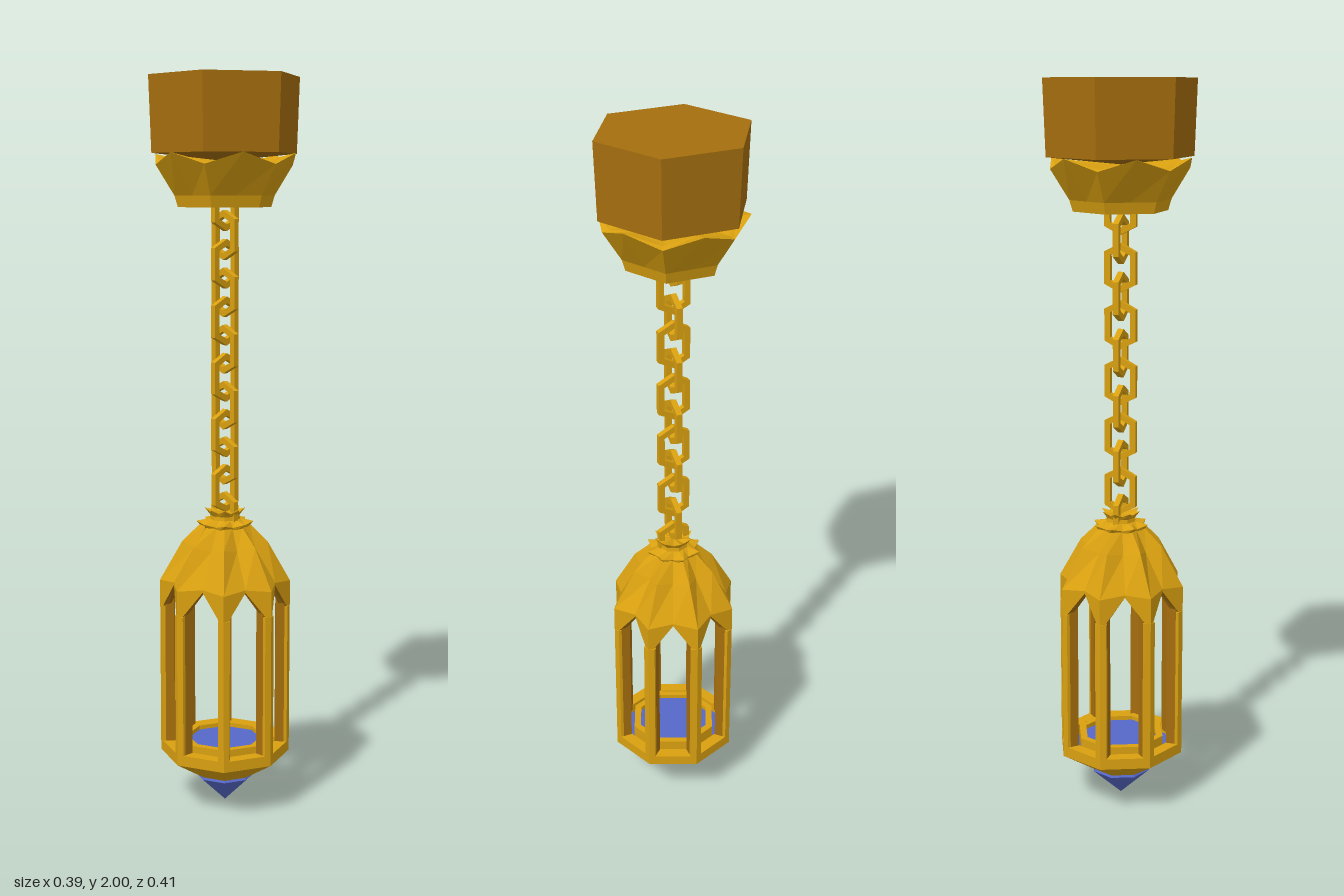
import * as THREE from 'three';

const material = (name, color) => {
  const m = new THREE.MeshStandardMaterial({ color, flatShading: true });
  m.name = name;
  return m;
};

// Faceted shell: each row is [corner radius, corner y, mid radius, mid y].
// A row with two numbers is a plain flat polygon.
function shell(sides, rows) {
  const pos = [], index = [], n = sides * 2;
  for (const [r, y, rm = r * Math.cos(Math.PI / sides), ym = y] of rows) {
    for (let i = 0; i < n; i++) {
      const a = (i / n) * Math.PI * 2, rad = i % 2 ? rm : r;
      pos.push(Math.sin(a) * rad, i % 2 ? ym : y, Math.cos(a) * rad);
    }
  }
  for (let j = 0; j < rows.length - 1; j++) {
    for (let i = 0; i < n; i++) {
      const k = (i + 1) % n, a = j * n + i, b = j * n + k;
      index.push(a, b, b + n, a, b + n, a + n);
    }
  }
  const g = new THREE.BufferGeometry();
  g.setAttribute('position', new THREE.Float32BufferAttribute(pos, 3));
  g.setIndex(index);
  g.computeVertexNormals();
  return g;
}

const lathe = (sides, pts) =>
  new THREE.LatheGeometry(pts.map(p => new THREE.Vector2(...p)), sides);

export function createModel() {
  const gold = material('gold', 0xd9a010);
  const bronze = material('bronze', 0xa56e0e);
  const blue = material('blue', 0x5668c8);

  const model = new THREE.Group();
  model.name = 'hangingLantern';
  const add = (name, geometry, mat, parent = model) => {
    const mesh = new THREE.Mesh(geometry, mat);
    mesh.name = name;
    parent.add(mesh);
    return mesh;
  };

  // Ceiling mount and its pointed collar
  add('ceilingMount', lathe(6, [[0, 1.78], [0.198, 1.8], [0.205, 2], [0, 2]]), bronze);
  add('mountCollar', shell(6, [
    [0, 1.66], [0.128, 1.66], [0.137, 1.69],
    [0.187, 1.77, 0.193, 1.8], [0.17, 1.775, 0.15, 1.79], [0, 1.78],
  ]), gold);

  // Chain of six-sided links, each turned a quarter from the last
  const hexagon = (Type, w, h, shoulder) => new Type([
    [0, h], [-w, shoulder], [-w, -shoulder], [0, -h], [w, -shoulder], [w, shoulder],
  ].map(p => new THREE.Vector2(...p)));
  const linkShape = hexagon(THREE.Shape, 0.044, 0.066, 0.043);
  linkShape.holes.push(hexagon(THREE.Path, 0.028, 0.048, 0.034));
  const linkGeometry = new THREE.ExtrudeGeometry(linkShape, { depth: 0.016, bevelEnabled: false });
  linkGeometry.translate(0, 0, -0.008);
  const chain = new THREE.Group();
  chain.name = 'chain';
  model.add(chain);
  for (let k = -1; k <= 10; k++) {
    const link = add('chainLink', linkGeometry, gold, chain);
    link.position.y = 0.9 + k * 0.0763;
    if (k % 2) link.rotation.y = Math.PI / 2;
  }

  // Small crown where the chain meets the roof
  add('roofCrown', shell(8, [
    [0.06, 0.785], [0.078, 0.808, 0.06, 0.8], [0.042, 0.815],
    [0.04, 0.825], [0.055, 0.845, 0.042, 0.835], [0, 0.835],
  ]), gold);

  // Ridged roof ending in pointed arches, with a darker lining
  const roofRows = [
    [0.18, 0.55, 0.15, 0.64], [0.18, 0.64, 0.15, 0.647],
    [0.118, 0.75, 0.09, 0.74], [0.068, 0.8, 0.055, 0.8],
  ];
  add('roof', shell(8, roofRows), gold);
  const liningRows = roofRows.map(([r, y, rm, ym]) => [r - 0.02, y, rm - 0.02, ym]).reverse();
  add('roofLining', shell(8, [...liningRows, roofRows[0]]), bronze);

  // Eight posts: bronze core behind a faceted gold face
  const faceShape = new THREE.Shape([
    [0, -0.18], [0.016, -0.1734], [0.016, -0.165], [-0.016, -0.165], [-0.016, -0.1734],
  ].map(p => new THREE.Vector2(...p)));
  const faceGeometry = new THREE.ExtrudeGeometry(faceShape, { depth: 0.41, bevelEnabled: false });
  faceGeometry.rotateX(-Math.PI / 2);
  faceGeometry.translate(0, 0.16, 0);
  const coreGeometry = new THREE.BoxGeometry(0.032, 0.46, 0.025);
  coreGeometry.translate(0, 0.39, 0.1525);
  for (let i = 0; i < 8; i++) {
    const post = new THREE.Group();
    post.name = 'post';
    post.rotation.y = (i * Math.PI) / 4;
    add('postFace', faceGeometry, gold, post);
    add('postCore', coreGeometry, bronze, post);
    model.add(post);
  }

  // Tapered base with its sill, inner ring and blue floor
  add('base', lathe(8, [
    [0, 0.085], [0.08, 0.085], [0.18, 0.148], [0.18, 0.178], [0.145, 0.178], [0.145, 0.145],
  ]), gold);
  add('floor', lathe(8, [[0.148, 0.15], [0, 0.15]]), blue);
  add('innerRing', lathe(8, [[0.125, 0.145], [0.125, 0.19], [0.105, 0.19], [0.105, 0.145]]), gold);
  add('lampPlate', lathe(8, [[0.106, 0.178], [0, 0.178]]), blue);

  // Pointed gem under the base
  add('gem', lathe(8, [[0, 0], [0.085, 0.08], [0.08, 0.088], [0, 0.088]]), blue);

  return model;
}
